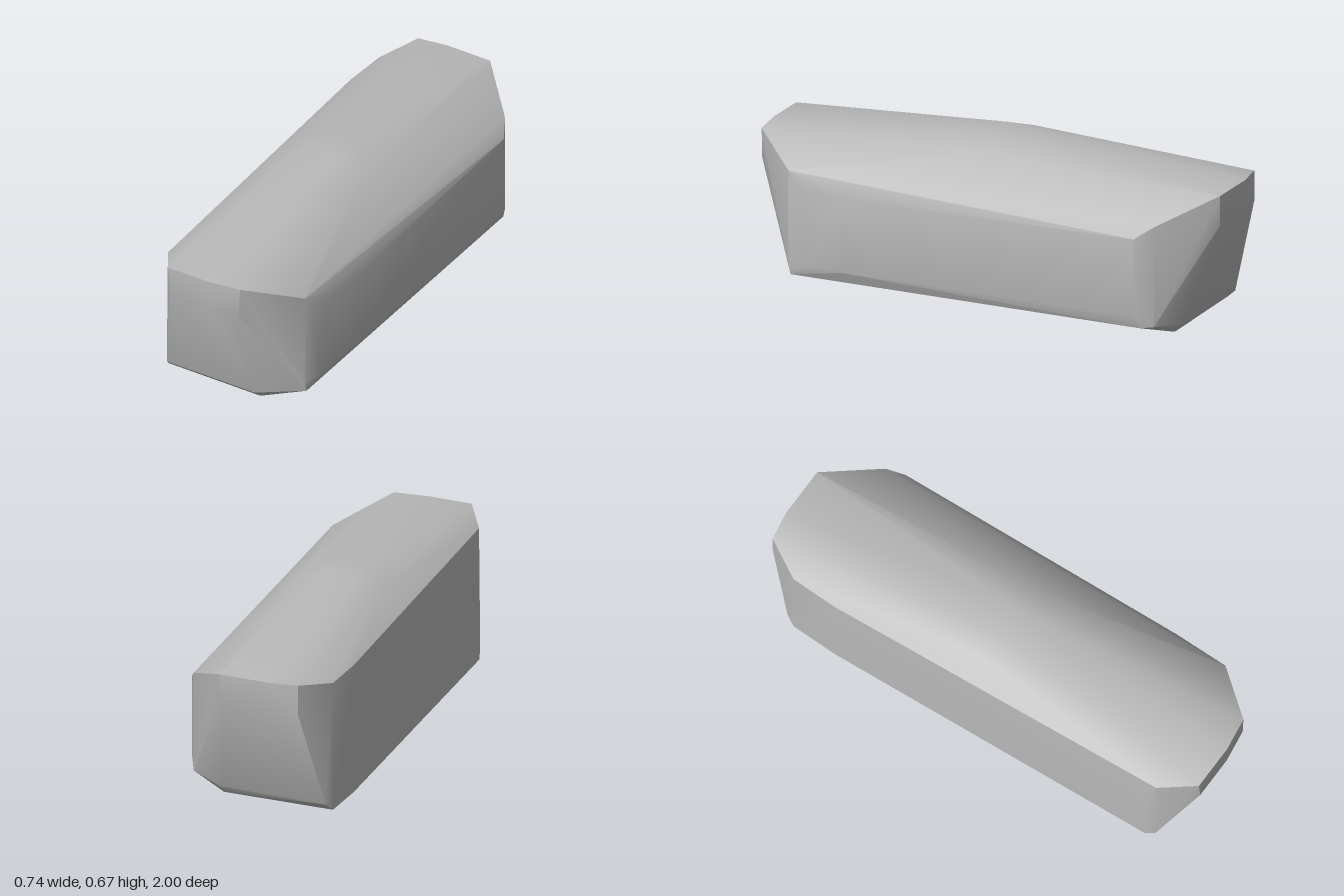
import * as THREE from 'three';
import { ConvexGeometry } from 'three/addons/geometries/ConvexGeometry.js';
import { toCreasedNormals } from 'three/addons/utils/BufferGeometryUtils.js';

const stoneGrey = new THREE.MeshStandardMaterial({ color: 0xb8b8b8 });
stoneGrey.name = 'stoneGrey';

// Corners of the hewn block, grouped by the area they bound
const corners = {
  ridge: [
    [-0.125, 0.667, 0.04], [-0.125, 0.667, -0.05], [0.02, 0.667, 0.04], [0.02, 0.667, -0.05],
    [-0.23, 0.63, -0.02], [0.125, 0.63, -0.01],
  ],
  frontEnd: [
    [-0.15, 0.58, 1], [0.04, 0.58, 1], [0.18, 0.58, 0.98],
    [-0.14, 0.455, 1], [0.04, 0.455, 1], [0.175, 0.455, 0.98],
    [-0.25, 0.035, 0.86], [0.17, 0.035, 0.86], [0.17, 0, 0.82],
  ],
  backEnd: [
    [-0.29, 0.58, -0.98], [-0.17, 0.58, -1], [0.04, 0.58, -1],
    [-0.29, 0.455, -0.98], [-0.17, 0.455, -1], [0.04, 0.455, -1],
    [-0.355, 0.035, -0.86], [0.1, 0.035, -0.86], [0.1, 0, -0.83],
  ],
  flatSide: [
    [-0.265, 0, 0.82], [-0.265, 0.4, 0.82], [-0.245, 0.545, 0.86],
    [-0.37, 0, -0.62], [-0.37, 0.545, -0.62], [-0.37, 0, -0.82], [-0.37, 0.545, -0.82],
  ],
  bevelledSide: [
    [0.35, 0.49, 0.77], [0.35, 0.055, 0.76], [0.35, 0.09, 0.77],
    [0.367, 0.42, 0.68], [0.367, 0.105, 0.68], [0.365, 0.42, 0.52], [0.365, 0.105, 0.52],
    [0.24, 0.48, -0.81], [0.24, 0.06, -0.81], [0.28, 0.43, -0.74], [0.28, 0.1, -0.74],
    [0.265, 0.055, -0.76],
  ],
};

export function createModel() {
  const group = new THREE.Group();
  group.name = 'stone';

  // Solid block with softly blended facets and crisp main edges
  const points = Object.values(corners).flat().map((p) => new THREE.Vector3(...p));
  const block = new THREE.Mesh(toCreasedNormals(new ConvexGeometry(points), 0.5), stoneGrey);
  block.name = 'stoneBlock';
  group.add(block);
  return group;
}
